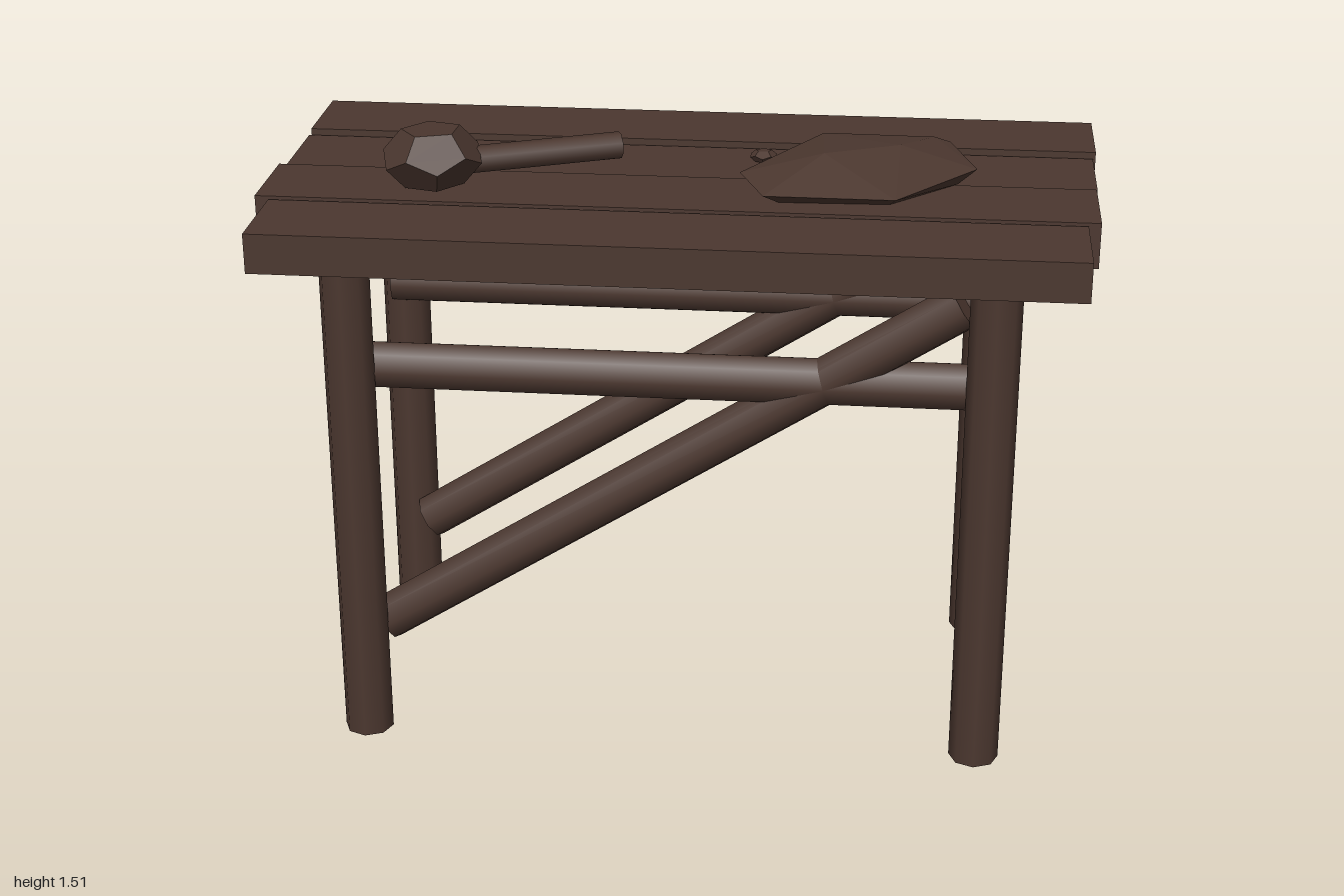
import * as THREE from 'three';
import { ConvexGeometry } from 'three/addons/geometries/ConvexGeometry.js';

const wood = new THREE.MeshStandardMaterial({ color: 0x4b372f });
wood.name = 'darkWood';

export function createModel() {
  const group = new THREE.Group();
  group.name = 'workbench';

  const add = (name, geometry, parent = group) => {
    const mesh = new THREE.Mesh(geometry, wood);
    mesh.name = name;
    parent.add(mesh);
    return mesh;
  };

  // Eight-sided round timber running between two points
  const pole = (name, from, to, radius, parent = group) => {
    const a = new THREE.Vector3(...from), b = new THREE.Vector3(...to);
    const dir = b.clone().sub(a);
    const mesh = add(name, new THREE.CylinderGeometry(radius, radius, dir.length(), 8), parent);
    mesh.position.copy(a).add(b).multiplyScalar(0.5);
    mesh.quaternion.setFromUnitVectors(new THREE.Vector3(0, 1, 0), dir.normalize());
    return mesh;
  };

  // Faceted lump squashed to the given half sizes
  const lump = (name, center, half, turn, parent = group) => {
    const g = new THREE.DodecahedronGeometry(1, 0);
    g.rotateX(turn[0]).rotateY(turn[1]);
    g.computeBoundingBox();
    const m = g.boundingBox.max;
    g.scale(half[0] / m.x, half[1] / m.y, half[2] / m.z);
    g.computeVertexNormals();
    add(name, g, parent).position.set(...center);
  };

  // Table top: four uneven planks [x0, x1, y0, y1, z0, z1]
  [
    [-0.965, 0.96, 1.273, 1.37, 0.255, 0.495],
    [-1.0, 0.99, 1.263, 1.375, 0.006, 0.245],
    [-0.985, 0.993, 1.28, 1.369, -0.246, -0.006],
    [-0.98, 1.0, 1.264, 1.384, -0.495, -0.252],
  ].forEach(([x0, x1, y0, y1, z0, z1], i) => {
    add('plank' + (i + 1), new THREE.BoxGeometry(x1 - x0, y1 - y0, z1 - z0))
      .position.set((x0 + x1) / 2, (y0 + y1) / 2, (z0 + z1) / 2);
  });

  // Legs, rail and diagonal brace on each long side
  for (const [side, legZ, braceZ] of [['front', 0.346, 0.29], ['back', -0.335, -0.28]]) {
    pole(side + 'RightLeg', [-0.77, 0, legZ], [-0.77, 1.275, legZ], 0.061);
    pole(side + 'LeftLeg', [0.757, 0, legZ], [0.757, 1.275, legZ], 0.061);
    pole(side + 'Rail', [-0.79, 0.972, braceZ], [0.78, 0.972, braceZ], 0.059);
    pole(side + 'Brace', [-0.72, 0.281, braceZ], [0.683, 1.178, braceZ], 0.059);
  }

  // Mallet lying on the table
  const mallet = new THREE.Group();
  mallet.name = 'mallet';
  group.add(mallet);
  lump('malletHead', [-0.595, 1.442, 0.11], [0.12, 0.068, 0.13], [0.45, 0.3], mallet);
  pole('malletHandle', [-0.56, 1.421, 0.085], [-0.167, 1.421, -0.085], 0.033, mallet);

  // Flat faceted slab of food: bottom, rim and ridge points
  const slab = [
    [0.31, 1.415, -0.165], [0.64, 1.43, -0.16], [0.705, 1.408, -0.02],
    [0.515, 1.405, 0.218], [0.205, 1.405, 0.218], [0.14, 1.412, 0.07],
    [0.34, 1.463, 0.06], [0.52, 1.465, -0.015], [0.33, 1.445, -0.155], [0.6, 1.445, -0.15],
    [0.24, 1.374, -0.06], [0.58, 1.374, -0.12], [0.66, 1.376, 0.0],
    [0.5, 1.374, 0.16], [0.24, 1.374, 0.17],
  ].map(p => new THREE.Vector3(...p));
  add('slab', new ConvexGeometry(slab));

  // Crumbs beside the slab
  lump('crumb1', [0.182, 1.383, -0.15], [0.032, 0.014, 0.036], [0.3, 0]);
  lump('crumb2', [0.31, 1.384, -0.187], [0.045, 0.014, 0.035], [0.3, 0.4]);

  return group;
}
